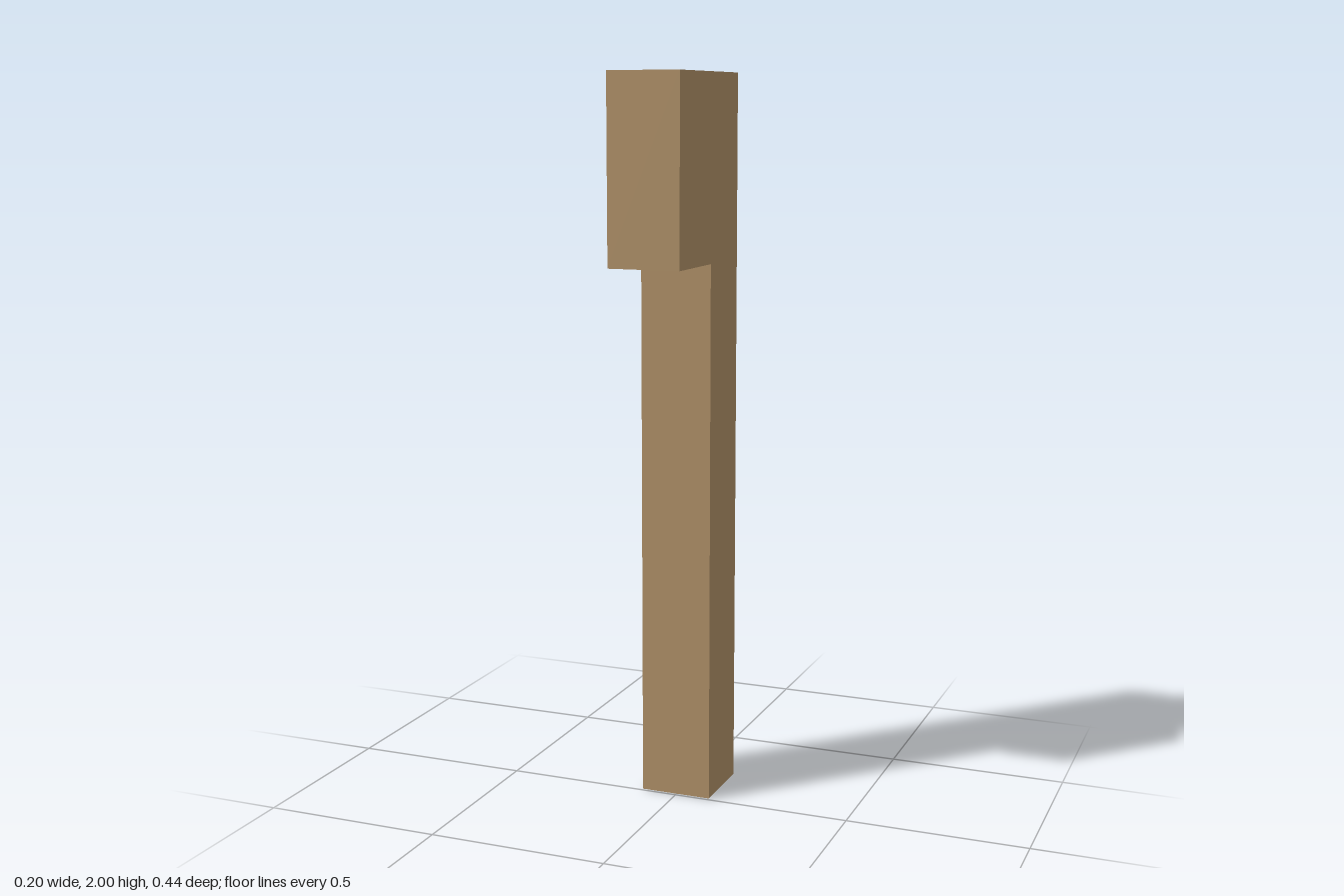
import * as THREE from 'three';

// Extrudes a side profile of [z, y] points across x, from x0 to x1
function sideExtrude(points, x0, x1) {
  const shape = new THREE.Shape(points.map(([z, y]) => new THREE.Vector2(z, y)));
  const geometry = new THREE.ExtrudeGeometry(shape, { depth: x1 - x0, bevelEnabled: false });
  geometry.rotateY(-Math.PI / 2);
  geometry.translate(x1, 0, 0);
  return geometry;
}

export function createModel() {
  const model = new THREE.Group();
  model.name = 'post';
  const wood = new THREE.MeshStandardMaterial({ color: 0xb09168 });
  const grey = new THREE.MeshStandardMaterial({ color: 0xcccccc });

  const add = (name, geometry, material) => {
    const mesh = new THREE.Mesh(geometry, material);
    mesh.name = name;
    model.add(mesh);
    return mesh;
  };

  // Upright post with the head block overhanging the front
  add('body', sideExtrude([
    [-0.205, 0.003], [-0.002, 0.003], [-0.002, 1.5],
    [0.222, 1.5], [0.222, 2], [-0.205, 2],
  ], -0.1, 0.1), wood);

  // Small sloped catch on the back, off centre
  add('catch', sideExtrude([
    [-0.204, 1.87], [-0.212, 1.863], [-0.218, 1.845],
    [-0.222, 1.805], [-0.204, 1.805],
  ], -0.013, 0.074), grey);

  // Thin stud under the foot
  const stud = add('footStud', new THREE.CylinderGeometry(0.025, 0.025, 0.004, 16), wood);
  stud.position.set(0, 0.002, -0.104);

  return model;
}
